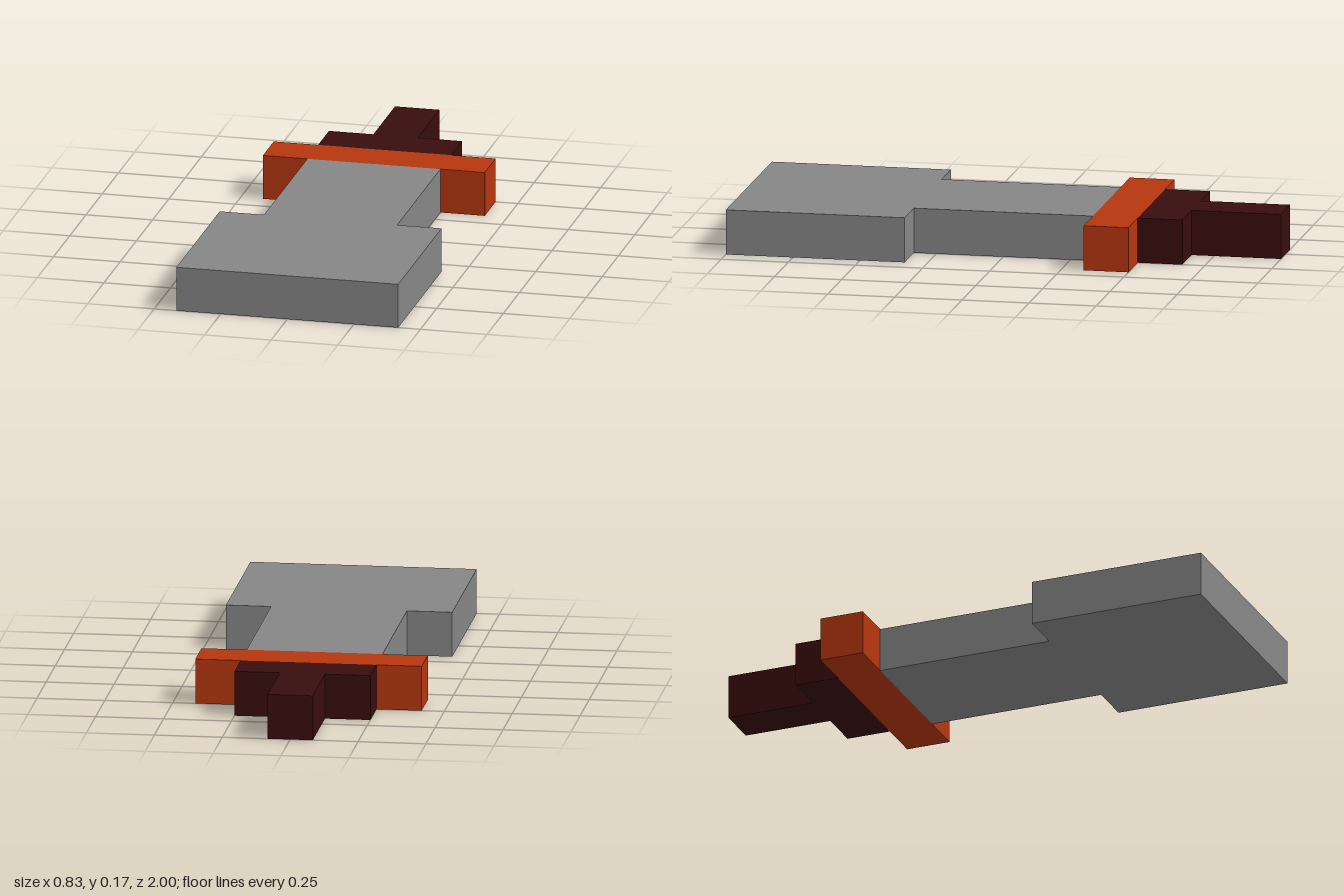
import * as THREE from 'three';

const U = 1 / 6; // grid unit; the whole model is one unit thick

// Mirrored slab from [half width, z] steps listed front to back, in grid units
function slab(name, steps, material) {
  const right = steps.map(([w, z]) => new THREE.Vector2(w * U, -z * U));
  const left = steps.map(([w, z]) => new THREE.Vector2(-w * U, -z * U)).reverse();
  const geometry = new THREE.ExtrudeGeometry(new THREE.Shape([...right, ...left]), {
    depth: U, bevelEnabled: false,
  });
  geometry.rotateX(-Math.PI / 2);
  const mesh = new THREE.Mesh(geometry, material);
  mesh.name = name;
  return mesh;
}

export function createModel() {
  const grey = new THREE.MeshStandardMaterial({ name: 'grey', color: 0x868686 });
  const orange = new THREE.MeshStandardMaterial({ name: 'orange', color: 0xb5360f });
  const maroon = new THREE.MeshStandardMaterial({ name: 'darkMaroon', color: 0x380d0d });

  const model = new THREE.Group();
  model.name = 'steppedBlock';
  model.add(
    // Wide front block narrowing to a neck
    slab('body', [[2.5, 6], [2.5, 2], [1.5, 2], [1.5, -2]], grey),
    // Cross bar
    slab('collar', [[2.5, -2], [2.5, -3]], orange),
    // Stepped rear end with a narrow tip
    slab('tip', [[1.5, -3], [1.5, -4], [0.5, -4], [0.5, -6]], maroon),
  );
  return model;
}
